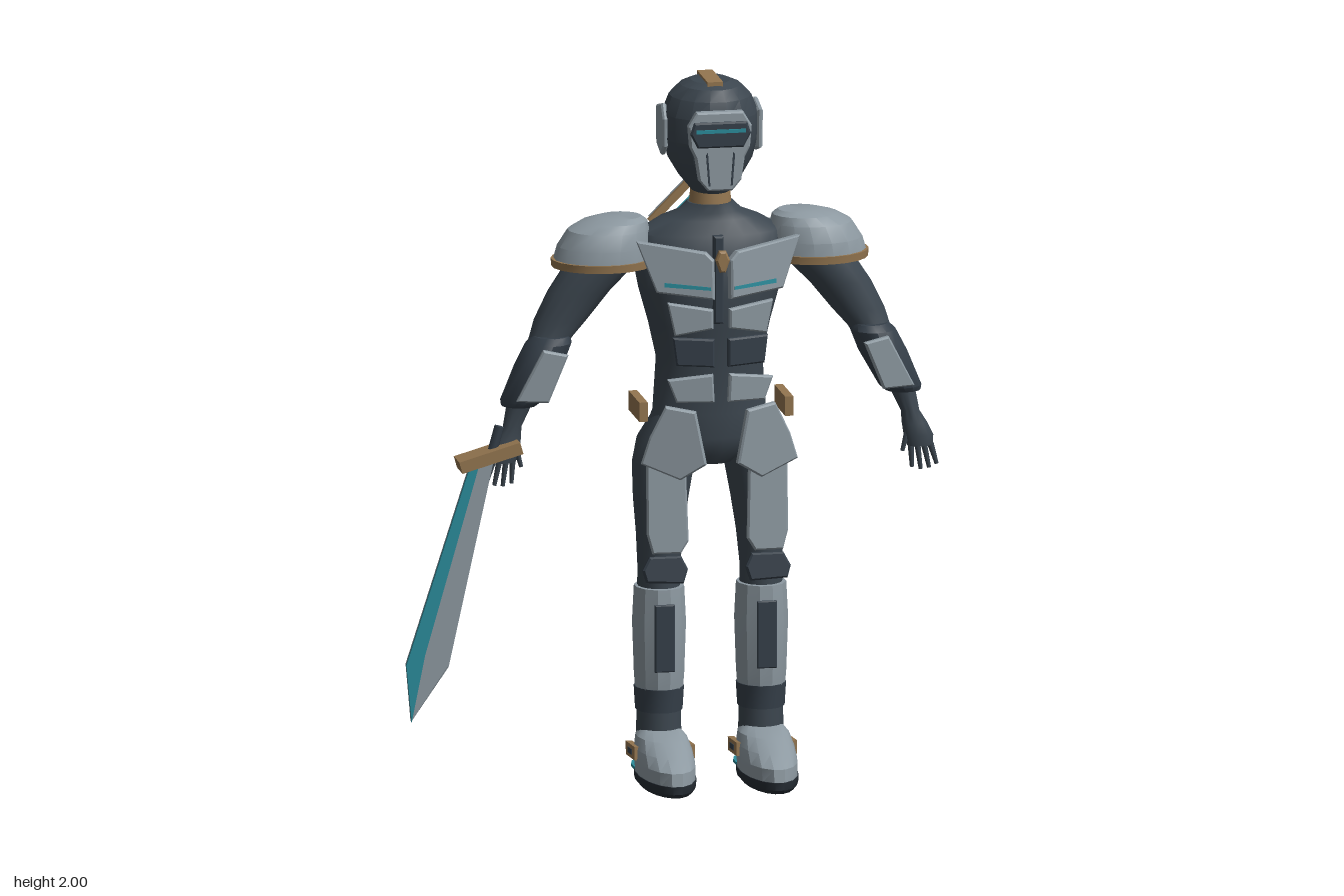
import * as THREE from 'three';
import { toCreasedNormals } from 'three/addons/utils/BufferGeometryUtils.js';

const mat = (name, color) => Object.assign(new THREE.MeshStandardMaterial({ color }), { name });
const suit = mat('dark suit', 0x3c464f);
const dark = mat('dark plate', 0x353f49);
const light = mat('grey armour', 0x8d99a1);
const gold = mat('bronze trim', 0x947650);
const teal = mat('teal glow', 0x2a8c9b);
const sole = mat('sole black', 0x262d34);

export function createModel() {
  const model = new THREE.Group();
  model.name = 'armouredKnight';
  const body = new THREE.Group();
  body.name = 'figure';
  body.position.x = 0.11;
  model.add(body);

  const add = (name, geo, material, x = 0, y = 0, z = 0) => {
    const m = new THREE.Mesh(geo, material);
    m.name = name;
    m.position.set(x, y, z);
    body.add(m);
    return m;
  };
  const box = (name, w, h, d, material, x, y, z) =>
    add(name, new THREE.BoxGeometry(w, h, d), material, x, y, z);

  // Skin over elliptical rings [y, x, z, rx, rz], listed bottom to top, with closed ends
  const loft = (name, rings, material, seg = 20, s = 1, crease = 0.7) => {
    const first = rings[0], last = rings[rings.length - 1];
    const all = [[...first.slice(0, 3), 0, 0], ...rings, [...last.slice(0, 3), 0, 0]];
    const pos = [], idx = [];
    all.forEach(([y, x, z, rx, rz], i) => {
      for (let j = 0; j < seg; j++) {
        const a = ((j + 0.5) / seg) * Math.PI * 2;
        pos.push(x * s + rx * Math.cos(a), y, z + rz * Math.sin(a));
        if (i === all.length - 1) continue;
        const k = (j + 1) % seg, p = i * seg, q = p + seg;
        if (i > 0) idx.push(p + j, q + j, p + k);
        if (i < all.length - 2) idx.push(q + j, q + k, p + k);
      }
    });
    const g = new THREE.BufferGeometry();
    g.setAttribute('position', new THREE.Float32BufferAttribute(pos, 3));
    g.setIndex(idx);
    return add(name, toCreasedNormals(g, crease), material);
  };

  // Bevelled armour plate from a front outline, turned about its own middle
  const plate = (name, pts, z, depth, material, s = 1, pitch = 0, yaw = 0, bevel = 0.005) => {
    const v = pts.map(([x, y]) => new THREE.Vector2(x * s, y));
    const c = v.reduce((t, p) => t.add(p), new THREE.Vector2()).divideScalar(v.length);
    const shape = new THREE.Shape(v.map(p => p.clone().sub(c)));
    const g = new THREE.ExtrudeGeometry(shape, {
      depth: depth - 2 * bevel, bevelEnabled: bevel > 0, bevelSize: bevel,
      bevelThickness: bevel, bevelOffset: -bevel, bevelSegments: 1
    });
    g.translate(0, 0, bevel - depth / 2);
    const m = add(name, g, material, c.x, c.y, z);
    m.rotation.set(pitch, yaw * s, 0);
    return m;
  };
  const bothHalves = pts => [...pts, ...pts.slice().reverse().map(([x, y]) => [-x, y])];

  // Torso and neck
  loft('torso', [
    [0.9, 0, 0, 0.07, 0.06], [0.93, 0, 0, 0.13, 0.09], [0.98, 0, -0.005, 0.185, 0.105],
    [1.05, 0, 0, 0.16, 0.1], [1.2, 0, 0, 0.15, 0.108], [1.3, 0, 0, 0.172, 0.122],
    [1.4, 0, 0, 0.2, 0.133], [1.5, 0, 0, 0.22, 0.125], [1.56, 0, 0, 0.21, 0.105],
    [1.6, 0, 0, 0.14, 0.085], [1.62, 0, 0.01, 0.09, 0.07], [1.645, 0, 0.015, 0.065, 0.062]
  ], suit, 24);
  add('neckCollar', new THREE.CylinderGeometry(0.056, 0.06, 0.045, 16), gold, 0, 1.665, 0.015);

  // Helmet, face mask, visor, ear plates and crest
  loft('helmet', [
    [1.68, 0, 0.015, 0.055, 0.08], [1.72, 0, 0.015, 0.088, 0.105], [1.77, 0, 0.012, 0.118, 0.125],
    [1.83, 0, 0.012, 0.134, 0.137], [1.9, 0, 0.012, 0.135, 0.137], [1.95, 0, 0.012, 0.115, 0.125],
    [1.98, 0, 0.015, 0.085, 0.1], [1.993, 0, 0.017, 0.055, 0.07]
  ], suit, 16, 1, 0.4);
  plate('faceMask', bothHalves([[0.066, 1.93], [0.09, 1.89], [0.085, 1.83], [0.07, 1.8], [0.06, 1.735], [0.035, 1.705]]),
    0.155, 0.03, light);
  plate('visor', bothHalves([[0.075, 1.903], [0.086, 1.87], [0.065, 1.83]]), 0.172, 0.014, dark);
  box('visorGlow', 0.14, 0.01, 0.008, teal, 0, 1.878, 0.18);
  for (const s of [-1, 1]) {
    plate('cheekSeam', [[0.036, 1.815], [0.041, 1.81], [0.034, 1.72], [0.029, 1.72]], 0.17, 0.008, dark, s, 0, 0, 0);
    const ear = plate('earPlate', [[-0.05, 1.91], [0.03, 1.93], [0.06, 1.89], [0.055, 1.81], [0.02, 1.78], [-0.045, 1.8]],
      0.005, 0.016, light);
    ear.position.x = s * 0.133;
    ear.rotation.y = s * Math.PI / 2;
    if (s > 0) ear.scale.x = 1; else ear.rotation.y = -Math.PI / 2;
  }
  box('helmetCrest', 0.044, 0.018, 0.16, gold, 0, 1.991, 0.015);

  // Chest gem, small of the back plate
  plate('chestGem', bothHalves([[0.01, 1.54], [0.02, 1.515], [0.008, 1.48]]), 0.2, 0.024, gold);
  plate('sternumStrip', bothHalves([[0.014, 1.57], [0.014, 1.32]]), 0.135, 0.03, dark);
  plate('rearBeltPlate', bothHalves([[0.11, 1.12], [0.095, 1.035]]), -0.122, 0.018, dark, 1, 0.25);

  for (const s of [-1, 1]) {
    // Front torso armour
    plate('chestPlate', [[0.235, 1.565], [0.04, 1.533], [0.018, 1.51], [0.018, 1.4], [0.18, 1.42]],
      0.168, 0.03, light, s, -0.08, 0.28);
    plate('chestGlow', [[0.16, 1.45], [0.03, 1.437], [0.03, 1.428], [0.16, 1.438]],
      0.186, 0.009, teal, s, -0.08, 0.28, 0);
    plate('upperRibPlate', [[0.15, 1.39], [0.022, 1.37], [0.022, 1.315], [0.13, 1.295]], 0.172, 0.022, light, s, 0, 0.15);
    plate('middleRibPlate', [[0.135, 1.29], [0.018, 1.285], [0.018, 1.205], [0.125, 1.21]], 0.172, 0.02, dark, s, 0, 0.15);
    plate('lowerRibPlate', [[0.15, 1.17], [0.022, 1.185], [0.018, 1.105], [0.125, 1.105]], 0.172, 0.022, light, s, 0, 0.15);

    // Back armour and belt pouches
    plate('backPlate', [[0.215, 1.56], [0.03, 1.55], [0.03, 1.42], [0.17, 1.44]], -0.148, 0.024, light, s, 0.12, -0.3);
    box('beltPouch', 0.024, 0.055, 0.16, gold, s * 0.207, 1.068, 0.03);

    // Shoulder pad with bronze rim
    loft('shoulderPad', [
      [1.485, 0.305, 0.008, 0.14, 0.118], [1.53, 0.3, 0.008, 0.132, 0.116],
      [1.575, 0.288, 0.008, 0.115, 0.1], [1.598, 0.27, 0.008, 0.092, 0.082], [1.61, 0.255, 0.008, 0.06, 0.055]
    ], light, 16, s, 0.45);
    loft('shoulderRim', [[1.472, 0.305, 0.008, 0.143, 0.122], [1.494, 0.305, 0.008, 0.145, 0.124]], gold, 20, s);

    // Arm, bracer and hand
    loft('arm', [
      [0.925, 0.592, 0.035, 0.036, 0.022], [0.955, 0.588, 0.035, 0.042, 0.026], [0.99, 0.577, 0.033, 0.036, 0.025],
      [1.025, 0.565, 0.03, 0.026, 0.025], [1.09, 0.543, 0.025, 0.036, 0.036], [1.2, 0.49, 0.02, 0.055, 0.055],
      [1.27, 0.452, 0.005, 0.06, 0.056], [1.32, 0.422, 0, 0.075, 0.06], [1.4, 0.37, 0, 0.088, 0.066],
      [1.47, 0.312, 0, 0.1, 0.075], [1.54, 0.25, 0, 0.1, 0.08]
    ], suit, 16, s);
    loft('bracer', [
      [1.085, 0.545, 0.025, 0.05, 0.05], [1.1, 0.537, 0.025, 0.06, 0.064], [1.2, 0.488, 0.025, 0.068, 0.074],
      [1.262, 0.46, 0.025, 0.064, 0.07], [1.28, 0.452, 0.02, 0.052, 0.058]
    ], dark, 14, s);
    plate('bracerPlate', [[0.49, 1.255], [0.42, 1.24], [0.475, 1.105], [0.565, 1.11]], 0.1, 0.022, light, s, 0, 0.1);
    for (let i = 0; i < 5; i++) {
      const thumb = i === 4;
      const x = thumb ? 0.55 : 0.567 + i * 0.021;
      const y = thumb ? 0.945 : 0.9;
      const f = add('finger', new THREE.CylinderGeometry(0.0095, 0.006, thumb ? 0.07 : [0.07, 0.085, 0.08, 0.06][i], 7),
        suit, s * x, y, 0.04);
      f.rotation.z = s * (thumb ? -0.25 : 0.05 + i * 0.08);
    }

    // Leg
    loft('leg', [
      [0.13, 0.145, 0.01, 0.063, 0.07], [0.3, 0.145, 0.012, 0.06, 0.068], [0.45, 0.145, 0.01, 0.062, 0.07],
      [0.6, 0.145, 0.01, 0.059, 0.065], [0.7, 0.142, 0.008, 0.066, 0.076], [0.8, 0.138, 0.002, 0.077, 0.09],
      [0.9, 0.13, -0.002, 0.087, 0.103], [0.97, 0.115, -0.004, 0.088, 0.104], [1.04, 0.09, 0, 0.07, 0.085]
    ], suit, 18, s);
    plate('hipPlate', [[0.155, 1.095], [0.07, 1.08], [0.04, 0.93], [0.113, 0.885], [0.224, 0.93], [0.2, 1.005]],
      0.168, 0.024, light, s, 0, 0.24);
    plate('thighPlate', [[0.2, 0.95], [0.09, 0.945], [0.083, 0.7], [0.105, 0.665], [0.185, 0.665], [0.2, 0.72]],
      0.122, 0.02, light, s, -0.05, 0.05);
    plate('kneePlate', [[0.19, 0.652], [0.1, 0.652], [0.082, 0.615], [0.095, 0.575], [0.2, 0.58], [0.21, 0.615]],
      0.11, 0.022, dark, s, -0.12);
    loft('shinGuard', [
      [0.262, 0.145, 0.015, 0.067, 0.075], [0.3, 0.145, 0.015, 0.07, 0.08], [0.45, 0.145, 0.015, 0.075, 0.087],
      [0.552, 0.145, 0.015, 0.07, 0.08]
    ], light, 12, s, 0.3);
    plate('shinPanel', [[0.173, 0.512], [0.117, 0.512], [0.117, 0.32], [0.173, 0.32]], 0.101, 0.012, dark, s, 0, 0, 0.003);
    loft('bootCuff', [[0.198, 0.145, 0.012, 0.066, 0.074], [0.265, 0.145, 0.012, 0.07, 0.079]], dark, 16, s);

    // Shoe
    loft('shoeSole', [[0, 0.145, 0.105, 0.07, 0.183], [0.012, 0.145, 0.105, 0.08, 0.195], [0.034, 0.145, 0.105, 0.081, 0.196]],
      sole, 20, s);
    loft('shoe', [
      [0.03, 0.145, 0.105, 0.079, 0.194], [0.07, 0.145, 0.102, 0.08, 0.191], [0.1, 0.145, 0.075, 0.078, 0.158],
      [0.13, 0.145, 0.045, 0.07, 0.115], [0.147, 0.145, 0.02, 0.055, 0.07]
    ], light, 16, s, 0.4);
    loft('shoeGlow', [[0.032, 0.145, 0.015, 0.077, 0.107], [0.04, 0.145, 0.015, 0.077, 0.107]], teal, 20, s);
    for (const t of [-1, 1]) {
      box('shoeBuckle', 0.018, 0.038, 0.13, gold, s * 0.145 + t * 0.077, 0.085, 0.035).rotation.x = -0.08;
      box('shoeBuckleInset', 0.006, 0.016, 0.06, dark, s * 0.145 + t * 0.085, 0.085, 0.035).rotation.x = -0.08;
    }
  }

  // Back emblem: spine clip, two diamond frames and a gem
  box('spineClip', 0.1, 0.03, 0.016, dark, 0, 1.51, -0.186);
  const diamond = (name, r, hole, depth, material, z) => {
    const ring = k => [[k, 0], [0, k], [-k, 0], [0, -k]].map(p => new THREE.Vector2(...p));
    const shape = new THREE.Shape(ring(r));
    shape.holes.push(new THREE.Path(ring(hole)));
    const g = new THREE.ExtrudeGeometry(shape, { depth, bevelEnabled: false });
    add(name, g.translate(0, 0, -depth / 2), material, 0, 1.54, z);
  };
  diamond('emblemOuterFrame', 0.13, 0.1, 0.014, gold, -0.236);
  diamond('emblemInnerFrame', 0.12, 0.085, 0.014, light, -0.273);
  box('emblemStem', 0.042, 0.09, 0.012, gold, 0, 1.385, -0.226);
  add('emblemGem', new THREE.OctahedronGeometry(0.06), teal, 0, 1.54, -0.272).scale.z = 0.63;

  // Sword in the right hand
  const grip = add('swordGrip', new THREE.CylinderGeometry(0.014, 0.014, 0.1, 8), dark, -0.62, 0.985, 0.057);
  grip.rotation.z = -0.27;
  const guard = box('swordGuard', 0.18, 0.034, 0.084, gold, -0.637, 0.952, 0.058);
  guard.rotation.z = 0.28;
  plate('swordBlade', [[-0.69, 0.925], [-0.62, 0.95], [-0.751, 0.352], [-0.857, 0.2], [-0.871, 0.363]],
    0.054, 0.024, light);
  plate('swordGlowEdge', [[-0.692, 0.925], [-0.667, 0.925], [-0.82, 0.39], [-0.858, 0.2], [-0.873, 0.363]],
    0.068, 0.009, teal, 1, 0, 0, 0);
  plate('swordFuller', [[-0.668, 0.9], [-0.645, 0.9], [-0.8, 0.37], [-0.823, 0.37]], 0.039, 0.009, dark, 1, 0, 0, 0);
  return model;
}
